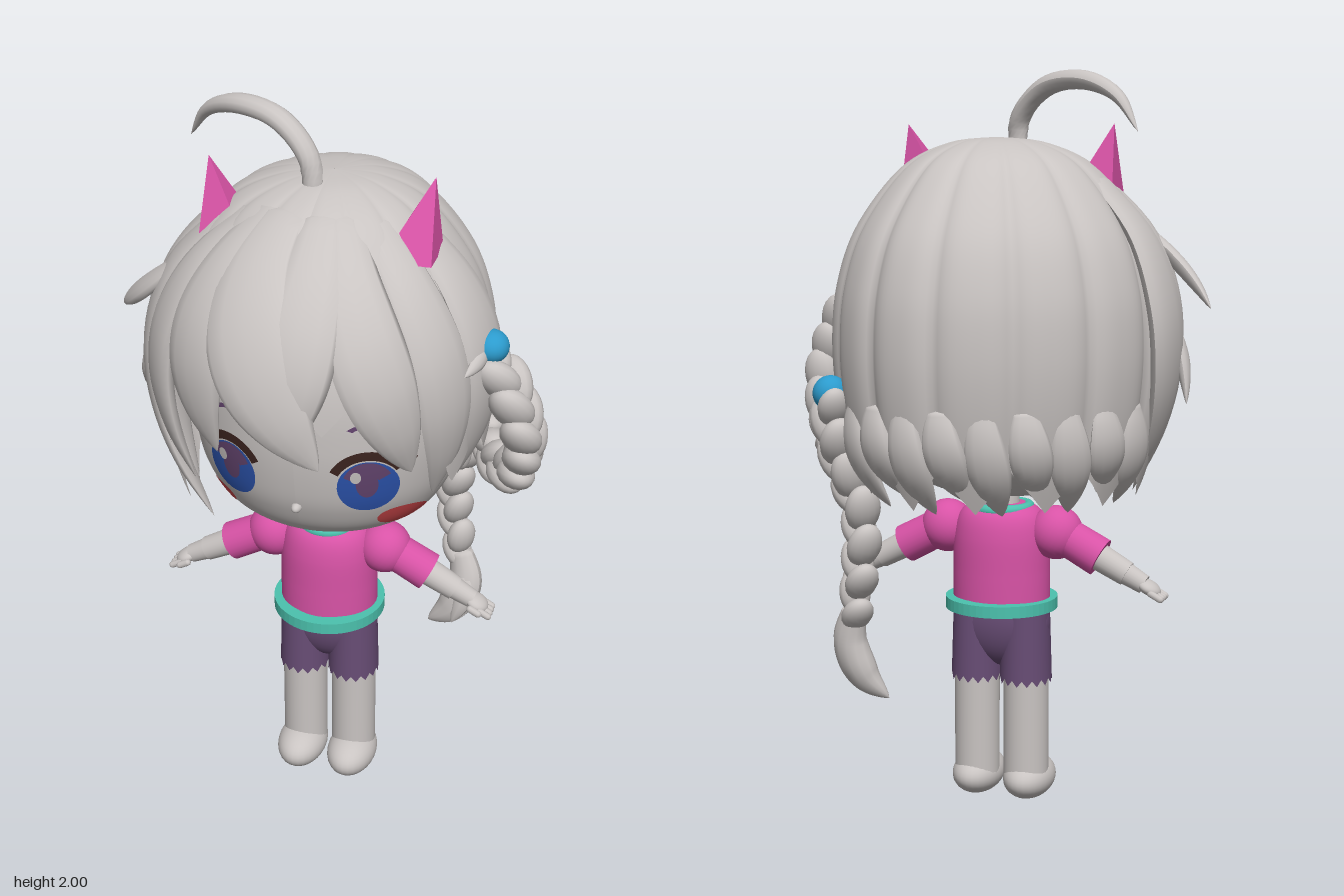
import * as THREE from 'three';

const V = (x, y, z) => new THREE.Vector3(x, y, z);
const RAD = Math.PI / 180;
const step = THREE.MathUtils.smoothstep;
const mat = (name, color, side = THREE.FrontSide) => Object.assign(new THREE.MeshStandardMaterial({ color, side }), { name });

// smooth profile from [radius, height] pairs, and its radius at a height
const profile = (pairs) => new THREE.SplineCurve(pairs.map(p => new THREE.Vector2(...p))).getPoints(120);
function radiusAt(pts, y) {
  for (let i = 1; i < pts.length; i++) {
    const a = pts[i - 1], b = pts[i];
    if (y <= b.y) return Math.max(0, a.x + (b.x - a.x) * THREE.MathUtils.clamp((y - a.y) / (b.y - a.y || 1), 0, 1));
  }
  return 0;
}
const headPts = profile([[0.001, 0.87], [0.13, 0.877], [0.21, 0.9], [0.285, 0.95], [0.33, 1.02], [0.355, 1.1], [0.37, 1.22], [0.365, 1.37], [0.32, 1.52], [0.2, 1.65], [0.001, 1.7]]);
const hairPts = profile([[0.36, 0.84], [0.41, 1.0], [0.44, 1.15], [0.45, 1.3], [0.435, 1.45], [0.38, 1.6], [0.26, 1.75], [0.13, 1.815], [0.001, 1.83]]);
const HEAD_Z = 0.03, FACE = 0.92;

// point on the hair surface: angle in degrees (0 front, 90 at +x), height, offset
function surf(deg, y, off = 0) {
  const s = Math.sin(deg * RAD), c = Math.cos(deg * RAD), r = radiusAt(hairPts, y);
  return V(s * (r * (s > 0 ? 0.95 : 1.04) + off), y, c * (r * (c > 0 ? 0.99 : 1.1) + off));
}

// path over the hair: angle bends from d0 by way of d1 to d2, height runs y0 to y1, tip lifts by off
function hairPath(d0, d1, d2, y0, y1, off) {
  return Array.from({ length: 6 }, (_, i) => {
    const t = i / 5, u = 1 - t;
    return surf(u * u * d0 + 2 * u * t * d1 + t * t * d2, y0 + (y1 - y0) * t, off * t * t + 0.022 * Math.sin(Math.PI * t) - 0.02 * u);
  });
}

// tapering lock with an elliptical section, lying flat against the head
function lockGeometry(points, width, thick, root = 0.5, center = V(0, 1.25, 0)) {
  const curve = new THREE.CatmullRomCurve3(points), n = 28, m = 12, pos = [], idx = [];
  for (let i = 0; i <= n; i++) {
    const t = i / n, p = curve.getPoint(t), T = curve.getTangent(t);
    const B = T.clone().cross(p.clone().sub(center)).normalize(), N = B.clone().cross(T);
    const k = i === 0 ? 0 : t < 0.5 ? root + (1 - root) * Math.sin(Math.PI * t) : Math.pow(Math.max(0, Math.cos((t - 0.5) * Math.PI)), 0.8);
    for (let j = 0; j <= m; j++) {
      const a = j / m * Math.PI * 2;
      const q = p.clone().addScaledVector(B, width * k * Math.cos(a)).addScaledVector(N, thick * k * Math.sin(a));
      pos.push(q.x, q.y, q.z);
      if (i < n && j < m) {
        const o = i * (m + 1) + j, u = o + m + 1;
        idx.push(o, u, o + 1, u, u + 1, o + 1);
      }
    }
  }
  const g = new THREE.BufferGeometry();
  g.setAttribute('position', new THREE.Float32BufferAttribute(pos, 3));
  g.setIndex(idx);
  g.computeVertexNormals();
  return g;
}

// lobed hair shell with pointed ends
function hairShell() {
  const rows = 40, g = new THREE.LatheGeometry(Array.from({ length: rows + 1 }, (_, j) => new THREE.Vector2(1, j)), 168);
  const p = g.attributes.position;
  for (let i = 0; i < p.count; i++) {
    const a = Math.atan2(p.getX(i), p.getZ(i)), d = a / RAD, v = p.getY(i) / rows;
    const tooth = 1 - Math.abs(((((d / 180 * 7) % 1) + 1) % 1) - 0.5) * 2;
    const edge = d > 0 ? 1.42 - 0.22 * step(d, 48, 62) - 0.2 * step(d, 110, 150) : 1.42 - 0.42 * step(-d, 48, 66);
    const low = edge - 0.11 * tooth, y = low + (1.83 - low) * Math.sin(v * Math.PI / 2);
    const q = surf(d, y), k = 1 - 0.04 * (1 - Math.abs(Math.sin(7 * a))) ** 2;
    p.setXYZ(i, q.x * k, y, q.z * k);
  }
  g.computeVertexNormals();
  return g;
}

export function createModel() {
  const pale = mat('pale', 0xc9c4c2, THREE.DoubleSide), pink = mat('pink', 0xd853a6), teal = mat('teal', 0x4cc2ae);
  const purple = mat('purple', 0x674c74, THREE.DoubleSide), sky = mat('skyBlue', 0x2c9bcd), blue = mat('eyeBlue', 0x2c54ae);
  const red = mat('blushRed', 0xd2494c), violet = mat('pupilViolet', 0x64456f), dark = mat('lashBrown', 0x3c241f);
  const model = new THREE.Group();
  const add = (name, geo, material, x = 0, y = 0, z = 0, parent = model) => {
    const mesh = new THREE.Mesh(geo, material);
    mesh.name = name;
    mesh.position.set(x, y, z);
    parent.add(mesh);
    return mesh;
  };
  const ball = (rx, ry, rz) => new THREE.SphereGeometry(1, 28, 20).scale(rx, ry, rz);

  // head, shallower behind, and neck
  const headGeo = new THREE.LatheGeometry(headPts, 64), hp = headGeo.attributes.position;
  for (let i = 0; i < hp.count; i++) hp.setZ(i, hp.getZ(i) * (hp.getZ(i) > 0 ? FACE : 0.75));
  headGeo.computeVertexNormals();
  add('head', headGeo, pale, 0, 0, HEAD_Z);
  add('nose', ball(0.014, 0.014, 0.022), pale, 0, 1.04, 0.34);
  add('neck', new THREE.CylinderGeometry(0.045, 0.055, 0.14, 24), pale, 0, 0.84, 0.045);

  // thin face details wrapped onto the head
  const decal = (name, material, x, y, rx, ry, lift, inner = 0, start = 0, len = 360) => {
    const g = new THREE.RingGeometry(inner, 1, 32, 6, start * RAD, len * RAD).scale(rx, ry, 1).translate(x, y, 0);
    const p = g.attributes.position;
    for (let i = 0; i < p.count; i++) {
      const r = radiusAt(headPts, p.getY(i)), px = p.getX(i);
      p.setZ(i, HEAD_Z + FACE * Math.sqrt(Math.max(0, r * r - px * px)) + lift);
    }
    g.computeVertexNormals();
    add(name, g, material);
  };
  for (const s of [-1, 1]) {
    const x = s * 0.18;
    decal('iris', blue, x, 1.115, 0.072, 0.08, 0.003);
    decal('irisShade', violet, x, 1.12, 0.06, 0.073, 0.005, 0.5, 25, 130);
    decal('pupil', violet, x, 1.125, 0.026, 0.042, 0.005);
    decal('eyeGlint', pale, x - 0.025, 1.15, 0.013, 0.018, 0.007);
    decal('eyelash', dark, x, 1.115, 0.1, 0.112, 0.007, 0.77, 30, 120);
    decal('lashTip', dark, x + s * 0.085, 1.185, 0.026, 0.013, 0.007);
    decal('eyebrow', violet, x, 1.27, 0.055, 0.035, 0.004, 0.7, 35, 110);
    decal('blush', red, s * 0.242, 0.987, 0.05, 0.037, 0.003);
    add('humanEar', ball(0.025, 0.06, 0.04), pale, s * 0.355, 1.08, 0);
  }

  // hair shell and overlapping locks: three angles, start and end height, tip lift, width
  add('hairShell', hairShell(), pale);
  const addLock = (d0, d1, d2, y0, y1, off, w) =>
    add('hairLock', lockGeometry(hairPath(d0, d1, d2, y0, y1, off), w, 0.012 + 0.2 * w), pale);
  // fringe
  addLock(-20, -16, 12, 1.79, 1.23, 0.03, 0.12);
  addLock(10, 3, 0, 1.79, 1.25, 0.01, 0.1);
  addLock(-30, -38, -25, 1.79, 1.2, -0.01, 0.1);
  addLock(20, 27, 45, 1.79, 1.17, -0.01, 0.1);
  // sides
  addLock(-45, -64, -50, 1.78, 1.02, -0.03, 0.085);
  addLock(45, 58, 60, 1.78, 1.05, -0.03, 0.09);
  addLock(-65, -88, -55, 1.75, 0.87, -0.04, 0.1);
  addLock(72, 82, 76, 1.75, 1.06, -0.03, 0.1);
  addLock(-90, -100, -78, 1.74, 0.89, -0.02, 0.11);
  // flicks
  addLock(-68, -72, -90, 1.62, 1.39, 0.125, 0.042);
  addLock(-78, -81, -90, 1.4, 1.14, 0.07, 0.04);
  addLock(85, 74, 62, 1.46, 1.41, 0.03, 0.025);
  // back ends
  for (let i = 0; i < 9; i++) addLock(140 + i * 14, 140 + i * 14, 147 + i * 14, 1.16, 0.88 + 0.04 * (i % 2), -0.03, 0.055);
  add('curlyTopStrand', lockGeometry([V(-0.03, 1.77, 0.09), V(-0.04, 1.88, 0.08), V(-0.12, 1.96, 0.05), V(-0.24, 1.975, 0), V(-0.35, 1.93, -0.06), V(-0.415, 1.84, -0.1)], 0.032, 0.026, 0.75), pale);

  // pointed ears: base centre, half width, apex
  for (const [x, z, half, ax, az] of [[-0.252, 0.09, 0.058, -0.3, 0.085], [0.235, 0.125, 0.064, 0.278, 0.07]]) {
    const g = new THREE.ConeGeometry(half * Math.SQRT2, 0.185, 4).rotateY(Math.PI / 4).translate(0, 0.0925, 0).toNonIndexed();
    const p = g.attributes.position;
    for (let i = 0; i < p.count; i++) {
      const k = p.getY(i) / 0.185;
      p.setX(i, p.getX(i) + (ax - x) * k);
      p.setZ(i, p.getZ(i) + (az - z) * k);
    }
    g.computeVertexNormals();
    add('pointedEar', g, pink, x, 1.68, z);
  }

  // braids of alternating tilted lumps
  const braid = (name, points, count, r0, r1) => {
    const curve = new THREE.CatmullRomCurve3(points), group = new THREE.Group();
    group.name = name;
    model.add(group);
    for (let i = 0; i < count; i++) {
      const t = (i + 0.3) / count, s = i % 2 ? 1 : -1, r = (r0 + (r1 - r0) * t) * Math.min(1, 0.7 + t * 3);
      const p = curve.getPointAt(t), T = curve.getTangentAt(t);
      const B = T.clone().cross(V(p.x, 0, p.z)).normalize(), N = B.clone().cross(T);
      const lump = add('braidLump', new THREE.SphereGeometry(1, 16, 12).scale(r * 0.68, r * 1.25, r * 0.88), pale, 0, 0, 0, group);
      lump.position.copy(p).addScaledVector(B, s * r * 0.38);
      lump.quaternion.setFromRotationMatrix(new THREE.Matrix4().makeBasis(B, T, N));
      lump.rotateZ(s * 0.5);
    }
  };
  braid('loopedBraid', [V(0.435, 1.41, 0.09), V(0.49, 1.32, 0.09), V(0.532, 1.18, 0.075), V(0.5, 1.05, 0), V(0.42, 1.0, -0.12), V(0.36, 1.02, -0.27)], 17, 0.063, 0.055);
  braid('hangingBraid', [V(0.345, 1.15, -0.32), V(0.33, 1.0, -0.295), V(0.28, 0.86, -0.285), V(0.28, 0.7, -0.29), V(0.31, 0.55, -0.265)], 13, 0.064, 0.047);
  const tail = V(0.2, 0.6, 0);
  add('braidTail', lockGeometry([V(0.305, 0.59, -0.27), V(0.325, 0.49, -0.255), V(0.29, 0.4, -0.245), V(0.22, 0.34, -0.24)], 0.055, 0.045, 0.6, tail), pale);
  add('braidTail', lockGeometry([V(0.305, 0.57, -0.27), V(0.33, 0.47, -0.23), V(0.3, 0.37, -0.2)], 0.035, 0.03, 0.6, tail), pale);
  add('hairBobble', ball(0.047, 0.043, 0.05), sky, 0.435, 1.44, 0.09);
  add('hairBobble', ball(0.047, 0.047, 0.047), sky, 0.345, 1.17, -0.318);

  // shirt with collar and waist ring
  const shirt = profile([[0.116, 0.56], [0.116, 0.65], [0.114, 0.75], [0.1, 0.81], [0.07, 0.838], [0.03, 0.842]]);
  add('shirt', new THREE.LatheGeometry(shirt, 40).scale(1.17, 1, 1), pink, 0, 0, 0.045);
  add('collar', new THREE.TorusGeometry(0.075, 0.016, 12, 40).rotateX(Math.PI / 2), teal, 0, 0.828, 0.045);
  const ring = [[0.12, 0.548], [0.155, 0.548], [0.155, 0.58], [0.12, 0.58], [0.12, 0.548]];
  const ringGeo = new THREE.LatheGeometry(ring.map(p => new THREE.Vector2(...p)), 48).toNonIndexed();
  ringGeo.computeVertexNormals();
  add('waistRing', ringGeo, teal, 0, 0, 0.045);

  // shorts, legs and feet
  add('shortsHip', ball(0.14, 0.13, 0.08), purple, 0, 0.51, 0.045);
  for (const s of [-1, 1]) {
    const g = new THREE.CylinderGeometry(0.066, 0.072, 0.2, 32, 4, true).scale(1, 1, 1.1), p = g.attributes.position;
    for (let i = 0; i < p.count; i++) if (p.getY(i) < -0.09 && i % 2) p.setY(i, -0.082);
    add('shortsLeg', g, purple, s * 0.071, 0.44, 0.045);
    add('leg', new THREE.CylinderGeometry(0.063, 0.063, 0.33, 28), pale, s * 0.072, 0.225, 0.045);
    add('foot', ball(0.07, 0.06, 0.107), pale, s * 0.075, 0.06, 0.068);

    // arm built along its own x axis, turned for the other side
    const side = new THREE.Group(), arm = new THREE.Group();
    side.name = s > 0 ? 'leftArm' : 'rightArm';
    arm.name = 'arm';
    side.position.z = 0.045;
    side.rotation.y = s > 0 ? 0 : Math.PI;
    arm.position.set(0.16, 0.77, 0);
    arm.rotation.z = -0.49;
    model.add(side);
    side.add(arm);
    const tube = (name, x0, x1, r0, r1, m) =>
      add(name, new THREE.CylinderGeometry(r1, r0, x1 - x0, 24).rotateZ(-Math.PI / 2), m, (x0 + x1) / 2, 0, 0, arm);
    add('sleevePuff', ball(0.074, 0.074, 0.07), pink, 0, -0.005, 0, arm);
    tube('sleeve', 0.03, 0.14, 0.052, 0.054, pink);
    tube('forearm', 0.13, 0.225, 0.038, 0.034, pale);
    tube('wrist', 0.22, 0.28, 0.031, 0.026, pale);
    add('palm', ball(0.035, 0.019, 0.035), pale, 0.295, 0, 0, arm);
    for (let i = 0; i < 4; i++) {
      add('finger', new THREE.CapsuleGeometry(0.0095, 0.03, 4, 10).rotateZ(-Math.PI / 2), pale, 0.325, -0.004, (i - 1.5) * 0.018, arm);
    }
    add('thumb', new THREE.CapsuleGeometry(0.01, 0.025, 4, 10).rotateZ(-Math.PI / 2), pale, 0.3, -0.008, s * 0.036, arm);
  }
  return model;
}
